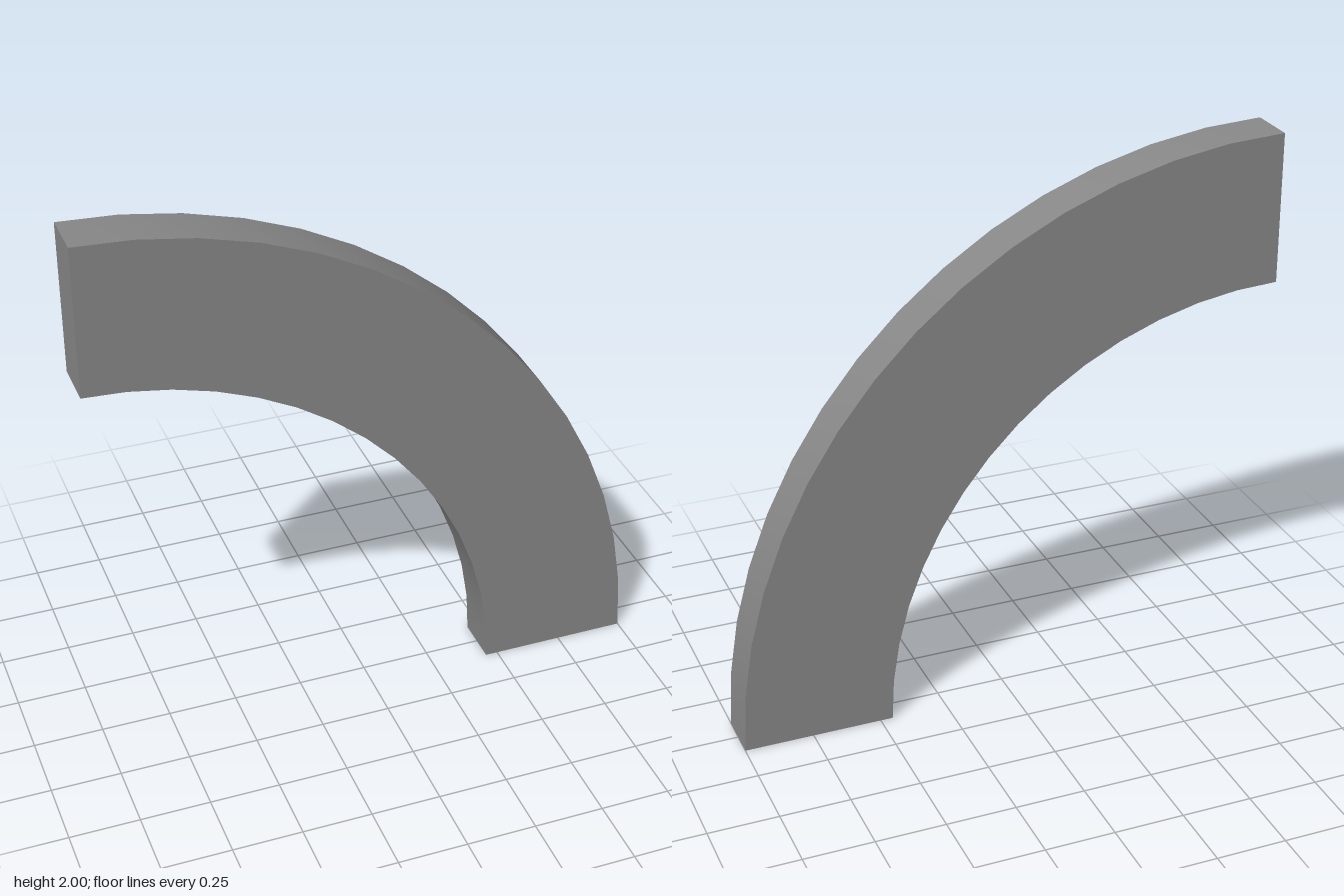
import * as THREE from 'three';
import { toCreasedNormals } from 'three/addons/utils/BufferGeometryUtils.js';

const OUTER = 2;
const INNER = 1.455;
const DEPTH = 0.18;
const SEGMENTS = 15;

// Points along a quarter circle, from the foot up to the crown
function quarterArc(radius) {
  return Array.from({ length: SEGMENTS + 1 }, (_, i) => {
    const angle = (i / SEGMENTS) * (Math.PI / 2);
    return new THREE.Vector2(radius * Math.cos(angle), radius * Math.sin(angle));
  });
}

export function createModel() {
  const group = new THREE.Group();
  group.name = 'quarterArch';

  // Quarter ring profile: up the outer arc, back down the inner one
  const profile = new THREE.Shape([...quarterArc(OUTER), ...quarterArc(INNER).reverse()]);
  const extruded = new THREE.ExtrudeGeometry(profile, { depth: DEPTH, bevelEnabled: false });
  extruded.translate(-1, 0, -DEPTH / 2);

  // Smooth curved faces, sharp edges
  const arch = new THREE.Mesh(
    toCreasedNormals(extruded, Math.PI / 6),
    new THREE.MeshStandardMaterial({ color: 0x888888 })
  );
  arch.name = 'archBlock';
  group.add(arch);
  return group;
}
